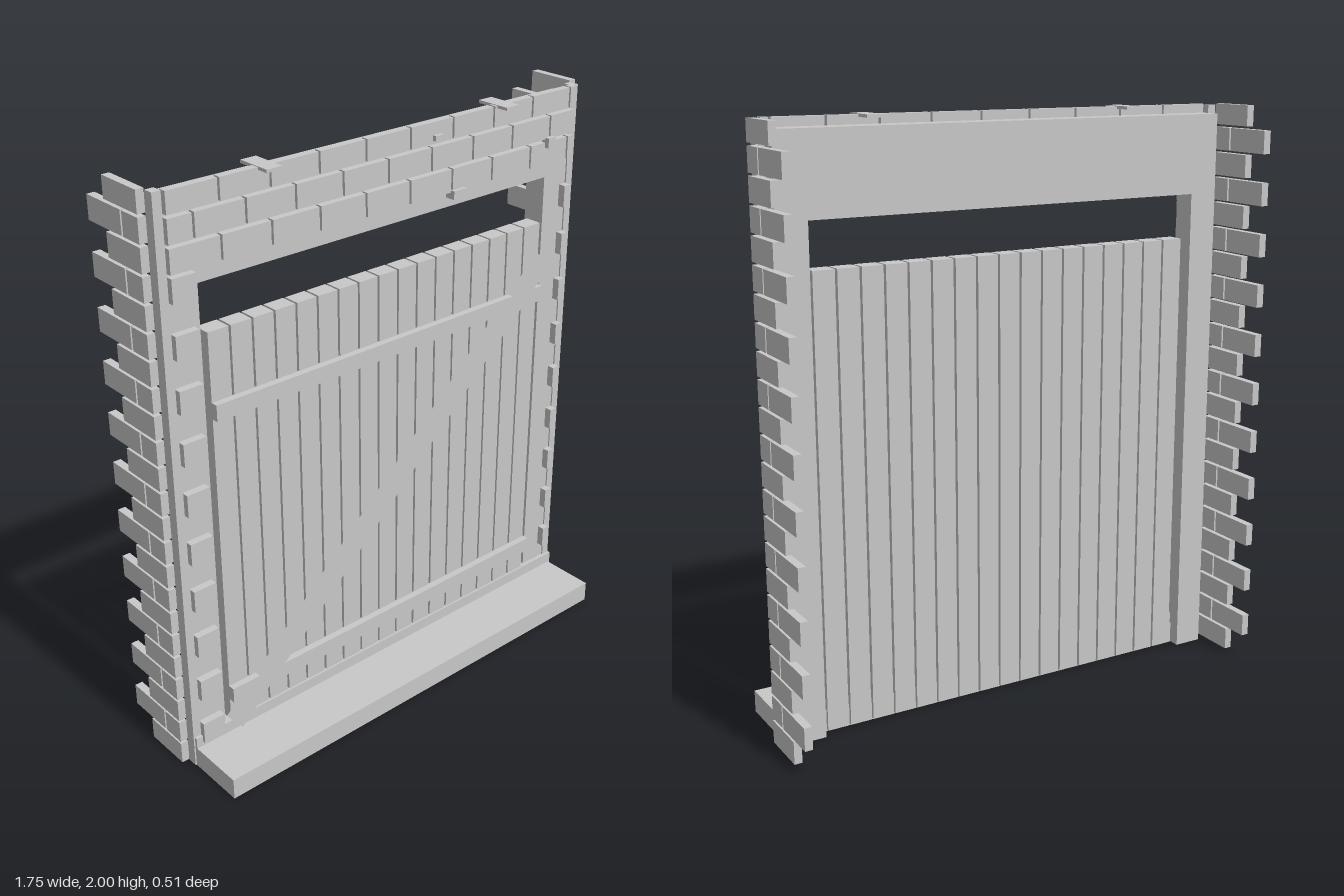
import * as THREE from 'three';

const stone = new THREE.MeshStandardMaterial({ color: 0xc8c8c8 });
stone.name = 'plain grey';

export function createModel() {
  const model = new THREE.Group();
  model.name = 'gatewayWithBoardDoor';

  const group = (name) => {
    const g = new THREE.Group();
    g.name = name;
    model.add(g);
    return g;
  };

  // Box given by its lower and upper limits on each axis
  const block = (parent, name, x0, x1, y0, y1, z0, z1) => {
    const mesh = new THREE.Mesh(new THREE.BoxGeometry(x1 - x0, y1 - y0, z1 - z0), stone);
    mesh.position.set((x0 + x1) / 2, (y0 + y1) / 2, (z0 + z1) / 2);
    mesh.name = name;
    parent.add(mesh);
    return mesh;
  };

  // Wall around the opening, its top a little below the highest bricks
  const wall = group('wall');
  block(wall, 'rightPillar', -0.82, -0.718, 0.006, 1.697, -0.042, 0.04);
  block(wall, 'leftPillar', 0.714, 0.82, 0.006, 1.697, -0.042, 0.04);
  block(wall, 'lintel', -0.82, 0.82, 1.697, 1.968, -0.042, 0.04);
  block(wall, 'rightEdgeStrip', -0.85, -0.82, 0.006, 1.995, 0.01, 0.045);
  block(wall, 'leftEdgeStrip', 0.82, 0.85, 0.006, 1.995, 0.01, 0.045);

  // Step and sill
  block(model, 'step', -0.845, 0.845, 0.004, 0.08, 0, 0.257);
  block(model, 'sill', -0.845, 0.853, 0.006, 0.12, 0.005, 0.055);

  // Brick courses on the lintel, in running bond
  const lintelBricks = group('lintelBricks');
  [1.753, 1.841, 1.929].forEach((y, row) => {
    const pitch = 0.1795;
    const shift = row === 1 ? pitch / 2 : 0;
    for (let i = 0; i < 11; i++) {
      const x0 = Math.max(-0.82, -0.82 + i * pitch - shift);
      const x1 = Math.min(0.82, -0.82 + (i + 1) * pitch - shift - 0.008);
      if (x1 - x0 > 0.01) block(lintelBricks, 'lintelBrick', x0, x1, y, Math.min(1.998, y + 0.077), 0.038, 0.064);
    }
  });

  // Corner bricks on the front of the pillars
  const cornerBricks = group('cornerBricks');
  for (let k = 0; k < 10; k++) {
    const y = 0.096 + k * 0.1743;
    block(cornerBricks, 'rightCornerBrick', -0.82, -0.737, y, y + 0.078, 0.038, 0.066);
    if (k < 9) block(cornerBricks, 'leftCornerBrick', 0.792, 0.82, y + 0.086, y + 0.164, 0.038, 0.066);
  }

  // Toothed brick returns running back on both sides
  const sideBricks = group('sideBricks');
  for (const side of [-1, 1]) {
    const xa = side < 0 ? -0.877 : 0.85;
    for (let k = 0; k < 23; k++) {
      const y = 0.009 + k * 0.0873;
      const y1 = Math.min(2, y + 0.078);
      if (k % 2 === 0) {
        block(sideBricks, 'sideBrick', xa, xa + 0.027, y, y1, -0.165, 0.008);
      } else {
        block(sideBricks, 'halfSideBrick', xa, xa + 0.027, y, y1, -0.074, 0.008);
        block(sideBricks, 'sideBrick', xa, xa + 0.027, y, y1, -0.257, -0.082);
      }
    }
  }

  // Door boards, reaching down behind the sill
  const door = group('door');
  const boards = 17;
  const pitch = 1.402 / boards;
  for (let i = 0; i < boards; i++) {
    const x = -0.7 + i * pitch;
    block(door, 'board', x, x + pitch - 0.008, 0.01, 1.54, -0.012, 0.048);
  }

  // Rails and diagonal brace
  block(door, 'lowerRail', -0.7, 0.697, 0.205, 0.26, 0.045, 0.072);
  block(door, 'upperRail', -0.7, 0.697, 1.257, 1.312, 0.045, 0.072);
  const brace = block(door, 'diagonalBrace', -0.95, 0.95, -0.022, 0.022, 0.05, 0.096);
  brace.position.x = -0.003;
  brace.position.y = 0.772;
  brace.rotation.z = Math.atan2(1.28, 1.39);

  // Flat clips over the top edge
  for (const x of [-0.48, 0.475]) block(model, 'topClip', x - 0.028, x + 0.028, 1.99, 2, -0.02, 0.105);

  // Small chips standing out of the brickwork
  const chips = group('chips');
  block(chips, 'chip', 0.165, 0.197, 1.94, 1.957, 0.05, 0.078);
  block(chips, 'chip', 0.682, 0.717, 1.813, 1.847, 0.05, 0.08);
  block(chips, 'chip', 0.25, 0.306, 1.731, 1.76, 0.035, 0.078);

  return model;
}
